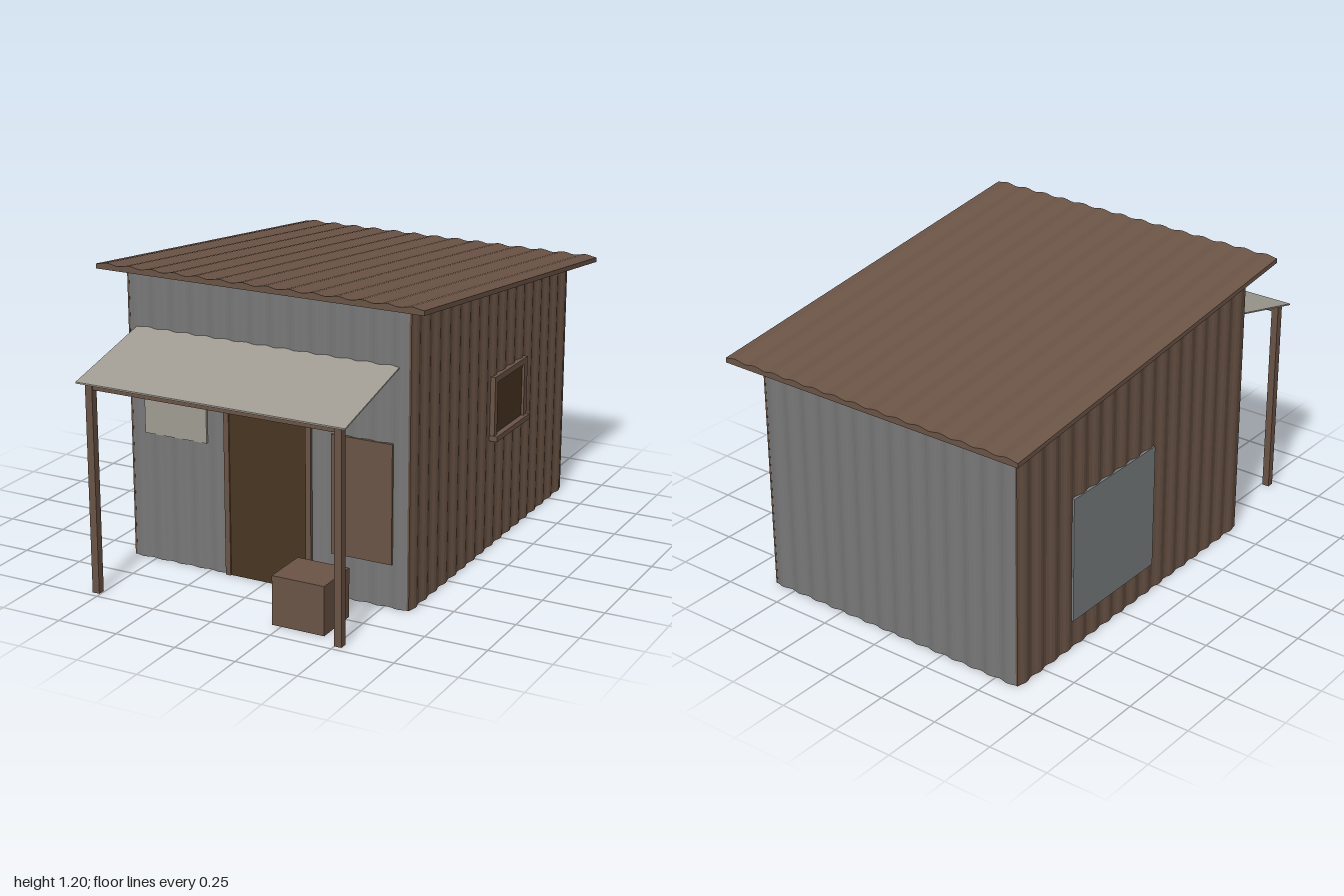
import * as THREE from 'three';

const mat = (name, color) => {
  const m = new THREE.MeshStandardMaterial({ color });
  m.name = name;
  return m;
};

// Height of the roof underside at depth z
const roofUnder = (z) => 0.98 + (z + 1) * 0.1166;

// Corrugated sheet: flat inner face at 0, rippled outer face, extruded along z
function sheet(width, base, ripple, waves, length) {
  const steps = waves * 6;
  const shape = new THREE.Shape();
  shape.moveTo(-width / 2, 0);
  shape.lineTo(width / 2, 0);
  for (let i = steps; i >= 0; i--) {
    const wave = 0.5 - 0.5 * Math.cos((i / steps) * waves * Math.PI * 2);
    shape.lineTo((i / steps - 0.5) * width, base + ripple * wave);
  }
  shape.closePath();
  return new THREE.ExtrudeGeometry(shape, { depth: length, bevelEnabled: false });
}

// Move every vertex height by a rule
function reshape(geo, rule) {
  const p = geo.attributes.position;
  for (let i = 0; i < p.count; i++) p.setY(i, rule(p.getY(i), p.getZ(i)));
  geo.computeVertexNormals();
  return geo;
}

export function createModel() {
  const model = new THREE.Group();
  model.name = 'shack';
  const brown = mat('rusty brown', 0x6b5446);
  const grey = mat('sheet grey', 0x787878);
  const pale = mat('pale sheet', 0xa09c92);
  const dark = mat('dark wood', 0x483522);
  const steel = mat('blue grey patch', 0x7b7f80);

  const add = (name, geo, material, parent = model) => {
    const mesh = new THREE.Mesh(geo, material);
    mesh.name = name;
    parent.add(mesh);
    return mesh;
  };
  // Box given by its limits on each axis
  const box = (name, material, [x0, x1], [y0, y1], [z0, z1], parent) => {
    const mesh = add(name, new THREE.BoxGeometry(x1 - x0, y1 - y0, z1 - z0), material, parent);
    mesh.position.set((x0 + x1) / 2, (y0 + y1) / 2, (z0 + z1) / 2);
    return mesh;
  };

  // Walls: upright sheets turned outward and cut to the roof slope
  const wall = (name, material, width, waves, turn, x, z) => {
    const geo = sheet(width, 0.008, 0.009, waves, 1);
    geo.rotateX(-Math.PI / 2).rotateY(turn + Math.PI).translate(x, 0, z);
    add(name, reshape(geo, (y, vz) => y * roofUnder(vz)), material);
  };
  wall('frontWall', grey, 1.2, 14, 0, 0, 0.565);
  wall('backWall', grey, 1.2, 14, Math.PI, 0, -0.885);
  wall('leftWall', brown, 1.47, 17, Math.PI / 2, 0.592, -0.16);
  wall('rightWall', brown, 1.47, 17, -Math.PI / 2, -0.592, -0.16);

  // Roof: rippled slab sheared to the slope
  const roof = sheet(1.374, 0.019, 0.008, 14, 1.655).translate(0, 0, -1);
  add('roof', reshape(roof, (y, z) => y + roofUnder(z)), brown);

  // Door and its frame
  const door = new THREE.Group();
  door.name = 'door';
  model.add(door);
  box('doorPanel', dark, [-0.155, 0.175], [0, 0.78], [0.57, 0.586], door);
  box('doorJamb', brown, [-0.177, -0.155], [0, 0.8], [0.57, 0.592], door);
  box('doorJamb', brown, [0.175, 0.197], [0, 0.8], [0.57, 0.592], door);
  box('doorLintel', brown, [-0.155, 0.175], [0.78, 0.8], [0.57, 0.592], door);

  // Side window
  const win = new THREE.Group();
  win.name = 'window';
  model.add(win);
  box('windowPane', dark, [0.6, 0.612], [0.47, 0.688], [-0.417, -0.157], win);
  box('windowTop', brown, [0.595, 0.622], [0.688, 0.713], [-0.447, -0.13], win);
  box('windowSide', brown, [0.595, 0.622], [0.472, 0.688], [-0.157, -0.13], win);
  box('windowSide', brown, [0.595, 0.622], [0.472, 0.688], [-0.447, -0.417], win);
  box('windowSill', brown, [0.595, 0.635], [0.45, 0.472], [-0.45, -0.127], win);

  // Patches nailed to the walls
  box('palePatch', pale, [-0.533, -0.258], [0.52, 0.86], [0.572, 0.583]);
  box('brownBoard', brown, [0.28, 0.533], [0.175, 0.648], [0.572, 0.587]);
  box('sidePatch', steel, [-0.613, -0.6], [0.12, 0.64], [-0.57, -0.05]);

  // Awning on two posts with a cross beam
  const awning = new THREE.BoxGeometry(1.115, 0.006, 0.445).translate(-0.002, 0, 0.7775);
  add('awning', reshape(awning, (y, z) => y + 0.838 + (1 - z) * 0.247).toNonIndexed(), pale);
  for (const x of [-0.52, 0.514]) {
    box('awningPost', brown, [x - 0.015, x + 0.015], [0, 0.842], [0.946, 0.976]);
  }
  box('awningBeam', brown, [-0.505, 0.499], [0.81, 0.835], [0.95, 0.972]);

  // Crate by the door
  box('crate', brown, [0.212, 0.428], [0, 0.195], [0.722, 0.917]);

  return model;
}
